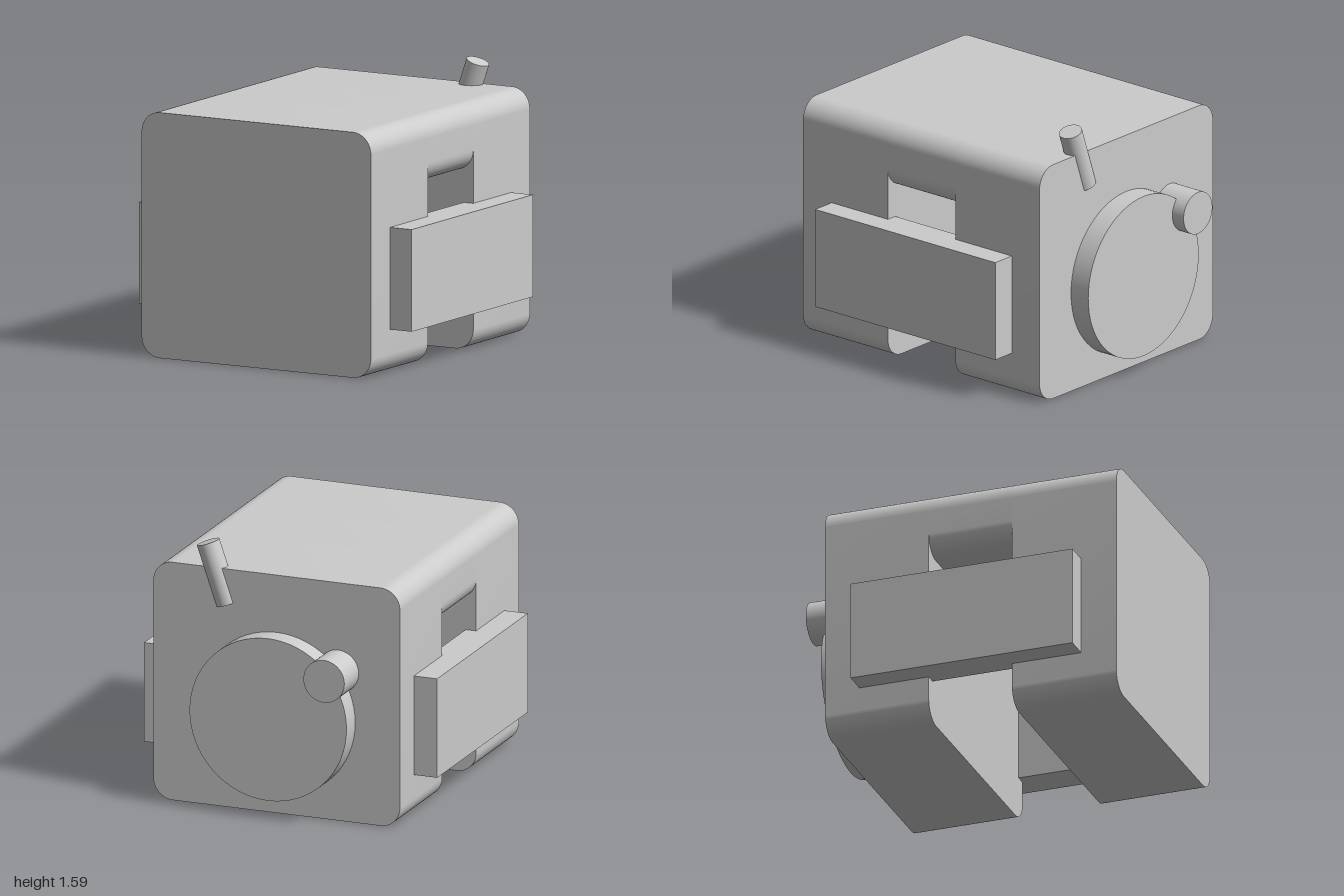
import * as THREE from 'three';
import { toCreasedNormals } from 'three/addons/utils/BufferGeometryUtils.js';

const material = new THREE.MeshStandardMaterial({ color: 0xcccccc });
const HALF_W = 0.765, TOP = 1.43, CORNER = 0.12;

function add(group, name, geometry, x = 0, y = 0, z = 0) {
  const mesh = new THREE.Mesh(geometry, material);
  mesh.name = name;
  mesh.position.set(x, y, z);
  group.add(mesh);
  return mesh;
}

// Block with rounded lengthwise edges, from y = bottom to the body top
function roundedBlock(bottom, depth) {
  const r = CORNER, w = HALF_W, s = new THREE.Shape();
  s.moveTo(-w + r, bottom);
  s.absarc(w - r, bottom + r, r, -Math.PI / 2, 0);
  s.absarc(w - r, TOP - r, r, 0, Math.PI / 2);
  s.absarc(-w + r, TOP - r, r, Math.PI / 2, Math.PI);
  s.absarc(-w + r, bottom + r, r, Math.PI, Math.PI * 1.5);
  const g = new THREE.ExtrudeGeometry(s, { depth, bevelEnabled: false, curveSegments: 16 });
  return toCreasedNormals(g, 0.6);
}

// Cylinder lying along z
function discGeometry(radius, depth) {
  return new THREE.CylinderGeometry(radius, radius, depth, 64).rotateX(Math.PI / 2);
}

export function createModel() {
  const model = new THREE.Group();
  model.name = 'model';

  // Body: two full-height blocks joined by a bridge above the cross slot
  const body = new THREE.Group();
  body.name = 'body';
  model.add(body);
  add(body, 'frontBlock', roundedBlock(0, 0.64), 0, 0, 0.36);
  add(body, 'bridge', roundedBlock(1.045, 0.51), 0, 0, -0.15);
  add(body, 'rearBlock', roundedBlock(0, 0.635), 0, 0, -0.785);

  // Side rails, sunk a little into the body
  for (const [side, name] of [[1, 'leftRail'], [-1, 'rightRail']]) {
    add(model, name, new THREE.BoxGeometry(0.21, 0.595, 1.36), side * 0.805, 0.557, 0.105);
  }

  // Rear disc with a knob on its rim
  add(model, 'rearDisc', discGeometry(0.4875, 0.18), 0, 0.598, -0.825);
  add(model, 'rimKnob', discGeometry(0.127, 0.25), -0.382, 0.898, -0.875);

  // Slanted rod breaking through the top and back
  const rod = add(model, 'slantedRod', new THREE.CylinderGeometry(0.0675, 0.0675, 0.375, 40), 0.382, 1.388, -0.743);
  rod.rotation.z = -THREE.MathUtils.degToRad(19);

  return model;
}
